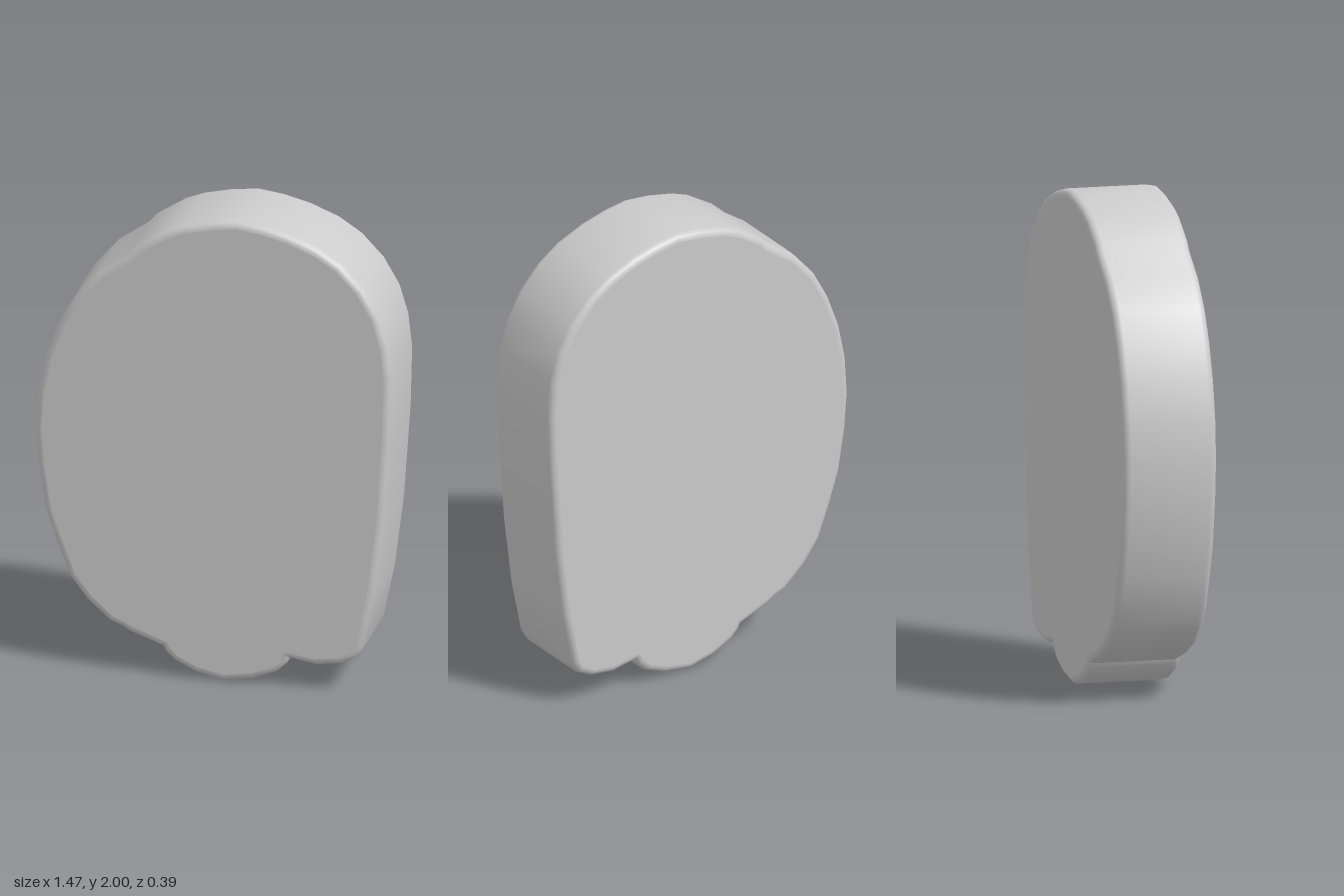
import * as THREE from 'three';
import { toCreasedNormals } from 'three/addons/utils/BufferGeometryUtils.js';

const THICKNESS = 0.39;
const BEVEL = 0.03;

// Outline sections, running clockwise from the lower left notch
const leftSide = [
  [-0.21, 0.125], [-0.34, 0.172], [-0.38, 0.195], [-0.43, 0.215], [-0.525, 0.3], [-0.595, 0.395],
  [-0.647, 0.53], [-0.695, 0.675], [-0.725, 0.86], [-0.737, 1.02], [-0.727, 1.18], [-0.695, 1.335],
  [-0.64, 1.485], [-0.573, 1.61], [-0.473, 1.727], [-0.35, 1.815],
];
const crown = [
  [-0.315, 1.855], [-0.2, 1.93], [-0.125, 1.96], [-0.01, 1.987], [0.1, 2], [0.2, 1.987],
  [0.31, 1.96], [0.43, 1.912], [0.525, 1.85], [0.615, 1.755], [0.68, 1.643], [0.717, 1.52],
];
const rightSide = [
  [0.733, 1.375], [0.727, 1.125], [0.7, 0.73], [0.663, 0.43], [0.617, 0.2],
  [0.592, 0.155], [0.525, 0.12], [0.42, 0.105], [0.31, 0.123],
];
const bottomLobe = [
  [0.3, 0.098], [0.257, 0.058], [0.165, 0.02], [0.04, 0], [-0.077, 0.026], [-0.165, 0.07], [-0.2, 0.105],
];

// Rounded slab: smooth rim and bevel, with exactly flat front and back faces
function slabGeometry(points) {
  const shape = new THREE.Shape(points.map(([x, y]) => new THREE.Vector2(x, y)));
  const extruded = new THREE.ExtrudeGeometry(shape, {
    depth: THICKNESS - 2 * BEVEL,
    bevelEnabled: true,
    bevelThickness: BEVEL,
    bevelSize: BEVEL,
    bevelOffset: -BEVEL,
    bevelSegments: 4,
  });
  extruded.translate(0, 0, BEVEL - THICKNESS / 2);
  const caps = extruded.groups[0];
  const geometry = toCreasedNormals(extruded, 0.6);
  const normal = geometry.attributes.normal;
  for (let i = caps.start; i < caps.start + caps.count; i++) {
    normal.setXYZ(i, 0, 0, Math.sign(geometry.attributes.position.getZ(i)));
  }
  geometry.clearGroups();
  return geometry;
}

export function createModel() {
  const model = new THREE.Group();
  model.name = 'roundedSlab';
  const material = new THREE.MeshStandardMaterial({ color: 0xcccccc });
  const slab = new THREE.Mesh(slabGeometry([...leftSide, ...crown, ...rightSide, ...bottomLobe]), material);
  slab.name = 'slab';
  model.add(slab);
  return model;
}
